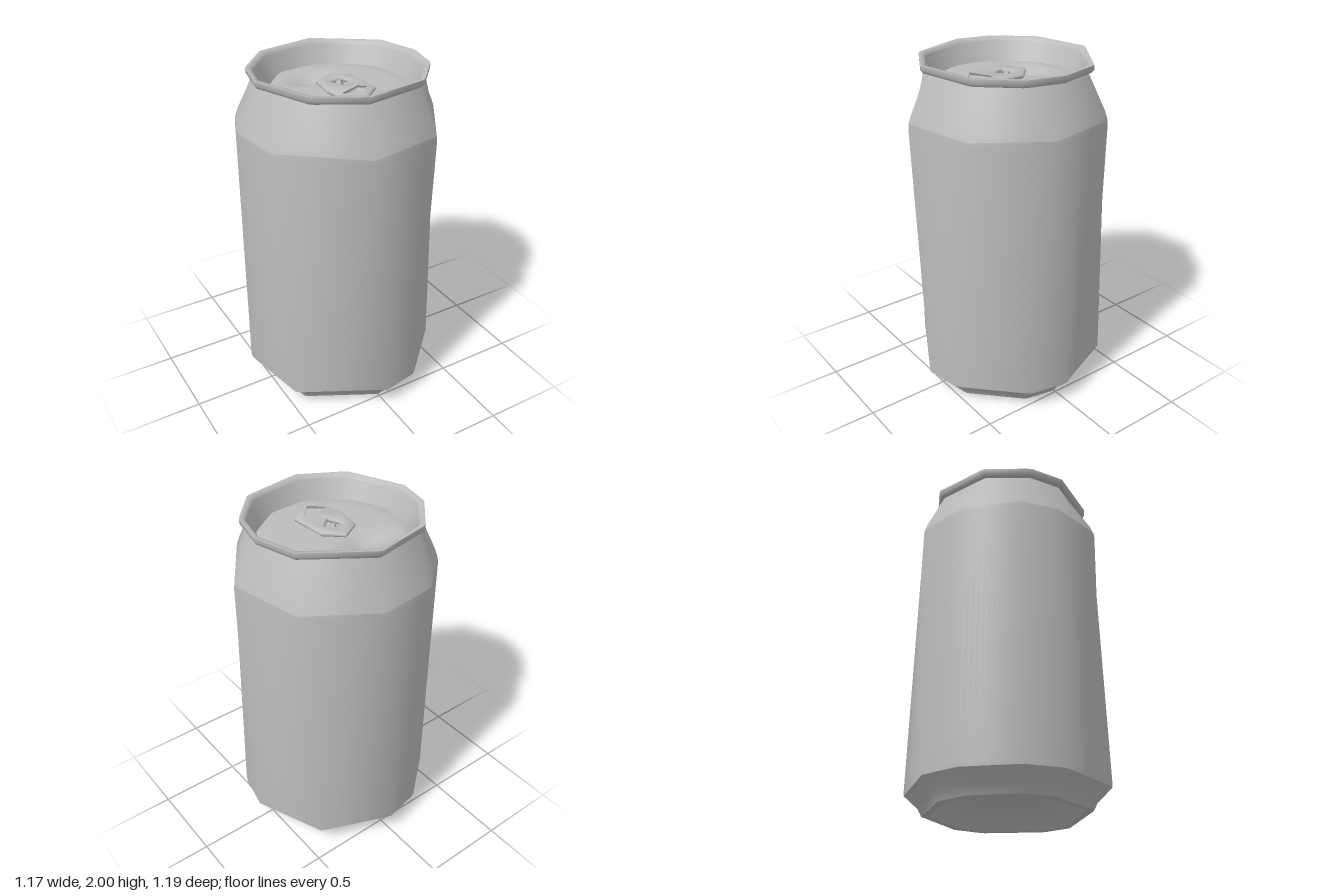
import * as THREE from 'three';
import { toCreasedNormals } from 'three/addons/utils/BufferGeometryUtils.js';

const STEPS = 120;

// Corner angles (degrees, from +x towards +z) of the uneven low-poly rings
const FOOT = [0, 23, 68, 90, 146, 191, 214, 247, 270, 315];
const SHOULDER = [11, 57, 102, 157, 191, 214, 247, 281, 326];
const RIM = [0, 26, 58, 102, 137, 180, 205, 238, 280, 330];
const WELL = [11, 38, 72, 102, 140, 172, 198, 246, 281, 330];

// Distance from the axis to a polygon with corners at the given angles
function polygonRadius(deg, r, corners) {
  const n = corners.length;
  for (let k = 0; k < n; k++) {
    const p = corners[k];
    const q = k + 1 < n ? corners[k + 1] : corners[0] + 360;
    const t = deg < p ? deg + 360 : deg;
    if (t >= p && t <= q) {
      const rad = Math.PI / 180;
      return (r * Math.cos(((q - p) / 2) * rad)) / Math.cos((t - (p + q) / 2) * rad);
    }
  }
  return r;
}

// Skin over rings [y, radius, corners], with smooth normals that follow the profile
function loft(rings, height) {
  const pos = [], nor = [], idx = [];
  const slope = rings.slice(1).map((b, j) => {
    const a = rings[j];
    return new THREE.Vector2(b[0] - a[0], a[1] - b[1]).normalize();
  });
  rings.forEach(([y, r, corners], j) => {
    const n = slope[Math.max(0, j - 1)].clone().add(slope[Math.min(j, slope.length - 1)]).normalize();
    for (let i = 0; i < STEPS; i++) {
      const deg = (i * 360) / STEPS, a = (deg * Math.PI) / 180;
      const d = polygonRadius(deg, r, corners);
      const x = d * Math.cos(a), z = d * Math.sin(a);
      pos.push(x, height ? height(x, z, y) : y, z);
      nor.push(n.x * Math.cos(a), n.y, n.x * Math.sin(a));
      if (j + 1 < rings.length) {
        const p = j * STEPS + i, q = j * STEPS + ((i + 1) % STEPS);
        idx.push(p, p + STEPS, q, q, p + STEPS, q + STEPS);
      }
    }
  });
  const g = new THREE.BufferGeometry();
  g.setAttribute('position', new THREE.Float32BufferAttribute(pos, 3));
  g.setAttribute('normal', new THREE.Float32BufferAttribute(nor, 3));
  g.setIndex(idx);
  if (height) g.computeVertexNormals();
  return g;
}

export function createModel() {
  const can = new THREE.Group();
  can.name = 'drinkCan';
  const metal = new THREE.MeshStandardMaterial({ color: 0xbcbcbc, side: THREE.DoubleSide });
  metal.name = 'aluminium';
  const add = (name, geometry) => {
    const mesh = new THREE.Mesh(geometry, metal);
    mesh.name = name;
    can.add(mesh);
    return mesh;
  };

  // Domed underside and tapered foot
  add('baseDome', loft([[0.15, 0.001, FOOT], [0.13, 0.2, FOOT], [0.08, 0.36, FOOT], [0, 0.44, FOOT]]));
  add('footEdge', loft([[0, 0.44, FOOT], [0, 0.485, FOOT]]));
  add('foot', loft([[0, 0.485, FOOT], [0.045, 0.51, FOOT], [0.12, 0.592, FOOT]]));

  // Wall and neck
  add('wall', loft([[0.12, 0.592, FOOT], [0.14, 0.593, FOOT], [1.66, 0.591, SHOULDER], [1.69, 0.588, SHOULDER]]));
  add('neck', loft([[1.69, 0.588, SHOULDER], [1.74, 0.57, SHOULDER], [1.955, 0.475, RIM]]));

  // Rolled rim and the sloping wall down to the lid
  add('rim', loft([[1.955, 0.465, RIM], [1.957, 0.492, RIM], [1.975, 0.506, RIM], [2, 0.506, RIM]]));
  add('rimTop', loft([[2, 0.506, RIM], [2, 0.482, RIM], [1.98, 0.47, RIM]]));
  add('rimWall', loft([[1.98, 0.47, RIM], [1.865, 0.42, WELL]]));

  // Lid with a pressed hollow behind the tab
  const lidRings = [];
  for (let k = 0; k <= 14; k++) lidRings.push([1.865, Math.max(0.001, 0.42 * (1 - k / 14)), WELL]);
  add('lid', loft(lidRings, (x, z, y) => {
    const raised = 0.015 * Math.min(1, (0.42 - Math.hypot(x, z)) / 0.08);
    const hollow = Math.exp(-(((x + 0.07) / 0.13) ** 2) - ((z + 0.2) / 0.08) ** 2);
    return y + Math.max(0, raised) - 0.045 * hollow;
  }));

  // Pull tab with a finger hole and a rivet hole, drawn in x and z
  const toPoints = (list) => list.map(([x, z]) => new THREE.Vector2(x, -z));
  const tabShape = new THREE.Shape(toPoints([
    [0.01, -0.115], [0.1, -0.03], [0.112, 0.185], [0, 0.28],
    [-0.1, 0.215], [-0.12, 0.1], [-0.1, -0.05],
  ]));
  const holes = [
    [[-0.09, 0.19], [0.04, 0.135], [0.075, 0.17], [-0.01, 0.26]],
    [[-0.07, -0.01], [-0.02, 0.09], [0.065, 0.02], [0.03, -0.04]],
  ];
  holes.forEach((h) => tabShape.holes.push(new THREE.Path(toPoints(h))));
  const tabGeometry = new THREE.ExtrudeGeometry(tabShape, {
    depth: 0.012, bevelThickness: 0.008, bevelSize: 0.01, bevelSegments: 1,
  });
  tabGeometry.rotateX(-Math.PI / 2);
  add('pullTab', toCreasedNormals(tabGeometry, 0.9)).position.y = 1.896;

  // Rivet
  const rivet = add('rivet', toCreasedNormals(new THREE.CylinderGeometry(0.015, 0.035, 0.035, 4), 0.6));
  rivet.position.set(0, 1.895, 0.005);

  return can;
}
